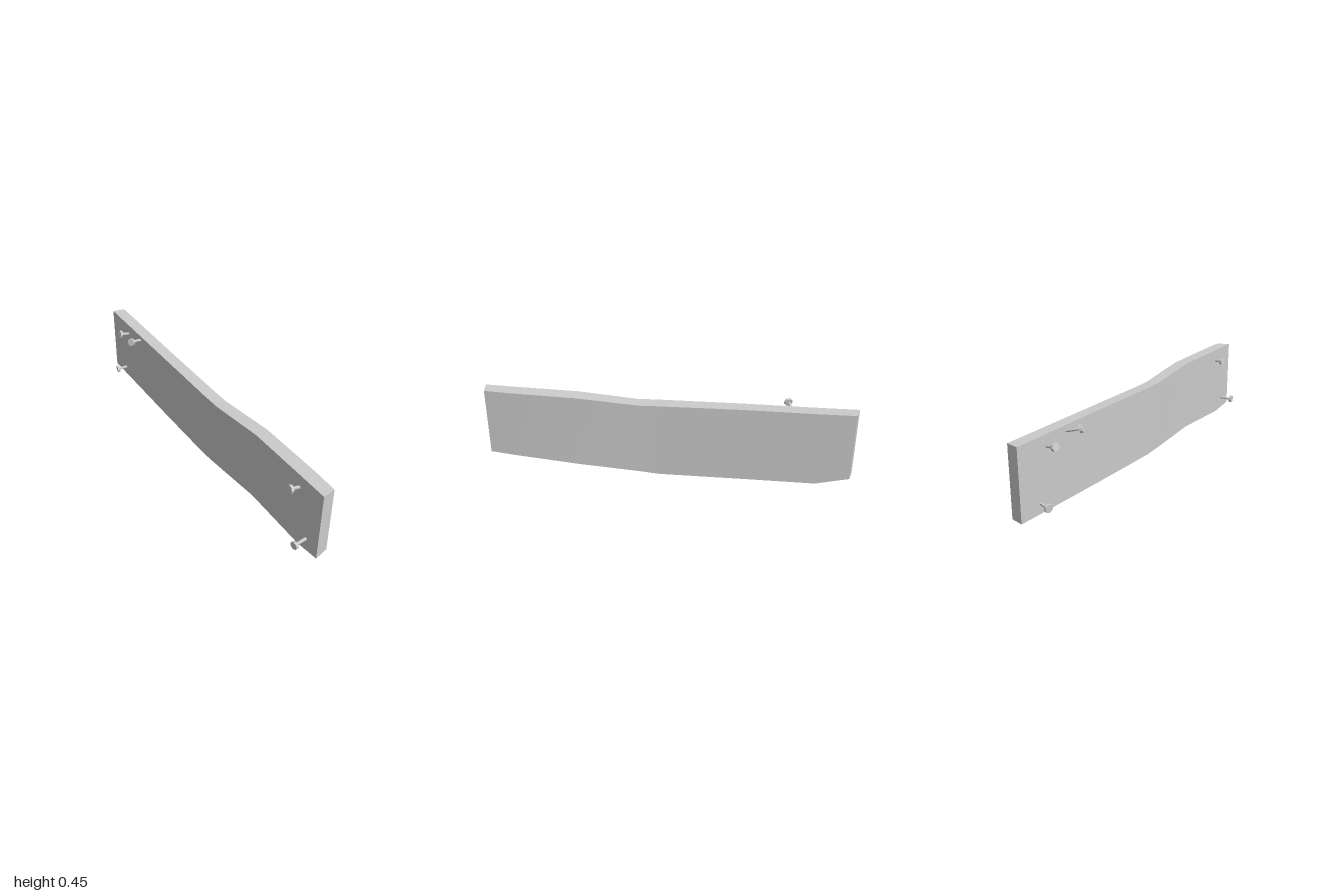
import * as THREE from 'three';
import { toCreasedNormals } from 'three/addons/utils/BufferGeometryUtils.js';

const grey = new THREE.MeshStandardMaterial({ color: 0xcccccc });
const flat = new THREE.MeshStandardMaterial({ color: 0xcccccc, flatShading: true });

// Cross-sections front to back: zLeft, zRight, xLeft, xRight, topLeft, topRight, bottomLeft, bottomRight
// (left and right as seen from +z)
const SECTIONS = [
  [1.0, 0.985, 0.0, 0.073, 0.441, 0.438, 0.054, 0.062],
  [0.86, 0.84, 0.003, 0.08, 0.441, 0.438, 0.033, 0.054],
  [0.48, 0.47, 0.008, 0.084, 0.443, 0.438, 0.049, 0.033],
  [0.16, 0.14, -0.002, 0.069, 0.418, 0.414, 0.036, 0.01],
  [0.04, 0.03, -0.005, 0.066, 0.421, 0.417, 0.032, 0.001],
  [-0.4, -0.4, -0.004, 0.064, 0.433, 0.43, 0.047, 0.012],
  [-0.81, -0.81, -0.001, 0.068, 0.441, 0.439, 0.062, 0.024],
  [-1.0, -0.985, 0.0, 0.068, 0.446, 0.444, 0.07, 0.07],
];

// Warped plank skinned through the cross-sections
function plankGeometry() {
  const rings = SECTIONS.map(([zl, zr, xl, xr, tl, tr, bl, br]) =>
    [[xl, bl, zl], [xr, br, zr], [xr, tr, zr], [xl, tl, zl]]);
  const pos = [];
  const quad = (a, b, c, d) => [a, b, c, a, c, d].forEach(p => pos.push(...p));
  for (let i = 0; i < rings.length - 1; i++) {
    const f = rings[i], k = rings[i + 1];
    for (let j = 0; j < 4; j++) {
      const n = (j + 1) % 4;
      quad(f[j], k[j], k[n], f[n]);
    }
  }
  quad(...rings[0]);
  quad(...rings[rings.length - 1].slice().reverse());
  const g = new THREE.BufferGeometry();
  g.setAttribute('position', new THREE.Float32BufferAttribute(pos, 3));
  return toCreasedNormals(g, 0.5);
}

// Nail: shaft along a gentle curve, faceted head facing along its end
function makeNail(base, head, facing) {
  const nail = new THREE.Group();
  nail.name = 'nail';
  const a = new THREE.Vector3(...base), b = new THREE.Vector3(...head);
  const dir = new THREE.Vector3(...facing).normalize();
  const root = a.clone().add(new THREE.Vector3(0.015, 0, 0));
  const bend = b.clone().addScaledVector(dir, -0.03);
  const curve = new THREE.QuadraticBezierCurve3(root, bend, b);
  const shaft = new THREE.Mesh(new THREE.TubeGeometry(curve, 4, 0.008, 6), flat);
  shaft.name = 'nailShaft';
  const cap = new THREE.Mesh(new THREE.CylinderGeometry(0.022, 0.022, 0.014, 8), flat);
  cap.name = 'nailHead';
  cap.position.copy(b);
  cap.quaternion.setFromUnitVectors(new THREE.Vector3(0, 1, 0), dir);
  nail.add(shaft, cap);
  return nail;
}

export function createModel() {
  const model = new THREE.Group();
  model.name = 'nailedPlank';
  const plank = new THREE.Mesh(plankGeometry(), grey);
  plank.name = 'plank';
  model.add(plank);

  // base point, head centre, head direction
  const nails = [
    [[0, 0.112, 0.913], [-0.069, 0.11, 0.919], [-1, -0.02, 0.08]],
    [[0, 0.372, 0.833], [-0.044, 0.378, 0.826], [-1, 0.1, -0.12]],
    [[0, 0.405, -0.662], [-0.071, 0.428, -0.637], [-0.85, 0.27, 0.45]],
    [[0, 0.38, -0.803], [-0.054, 0.392, -0.81], [-1, 0.25, -0.08]],
    [[0, 0.117, -0.862], [-0.054, 0.112, -0.875], [-1, -0.08, -0.2]],
  ];
  nails.forEach(n => model.add(makeNail(...n)));
  return model;
}
